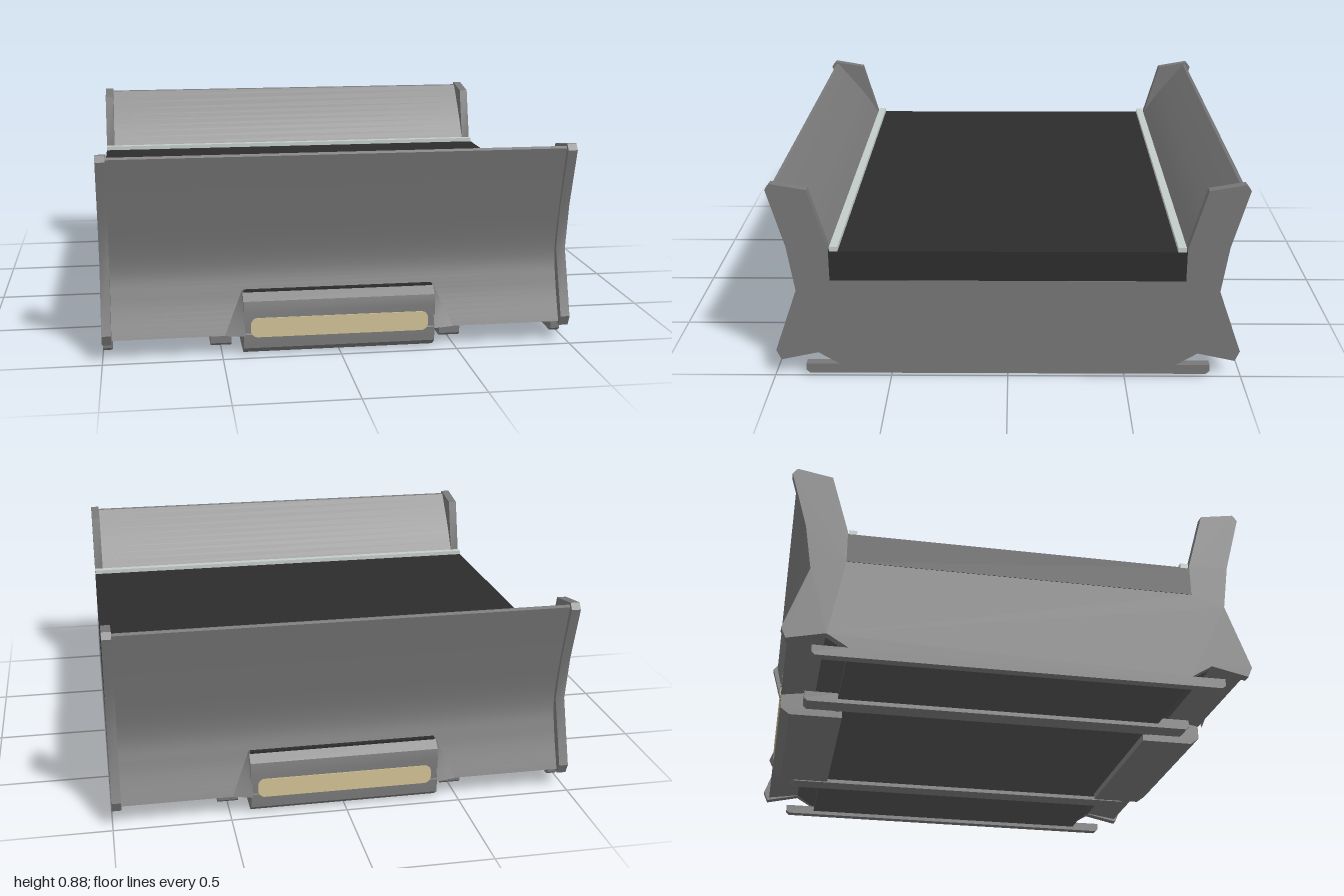
import * as THREE from 'three';
import { toCreasedNormals } from 'three/addons/utils/BufferGeometryUtils.js';

const mat = (name, color) => Object.assign(new THREE.MeshStandardMaterial({ color }), { name });

export function createModel() {
  const steel = mat('steel grey', 0x777777);
  const under = mat('underside grey', 0x535353);
  const rubber = mat('belt black', 0x2c2c2c);
  const trim = mat('pale trim', 0xc2cbc7);
  const amber = mat('lamp amber', 0xd0c094);
  const model = new THREE.Group();
  model.name = 'beltSection';

  const add = (parent, name, geometry, material, x = 0, y = 0, z = 0) => {
    const mesh = new THREE.Mesh(geometry, material);
    mesh.name = name;
    mesh.position.set(x, y, z);
    parent.add(mesh);
    return mesh;
  };
  // Extrudes a [z, y] outline along x, centred on x = 0
  const profile = (points, width) => {
    const shape = new THREE.Shape(points.map(([z, y]) => new THREE.Vector2(z, y)));
    const g = new THREE.ExtrudeGeometry(shape, { depth: width, bevelEnabled: false });
    g.rotateY(-Math.PI / 2).translate(width / 2, 0, 0);
    return toCreasedNormals(g, 0.5);
  };
  // Completes an outline that is the same towards front and back
  const mirrored = (half) => [...half, ...half.map(([z, y]) => [-z, y]).reverse()];
  const curve = (points, n) =>
    new THREE.SplineCurve(points.map((p) => new THREE.Vector2(...p))).getPoints(n).map((p) => [p.x, p.y]);

  // Trough with concave outer walls and flared inner walls
  const outer = curve([[0.968, 0.855], [0.912, 0.62], [0.872, 0.4], [0.902, 0.25], [0.962, 0.09]], 32);
  const inner = curve([[0.742, 0.585], [0.80, 0.675], [0.87, 0.765], [0.952, 0.862]], 10);
  add(model, 'trough', profile(mirrored([
    [0.742, 0.45], ...inner, [0.965, 0.865], ...outer, [0.81, 0.113], [0.74, 0.09],
  ]), 1.924), steel);

  // Dark floor pan below the trough
  add(model, 'floorPan', profile(mirrored([[0.812, 0.112], [0.72, 0.053], [0.72, 0.03]]), 1.93), under);

  // End plates with a slot for the belt and a skid along the bottom
  const plate = mirrored([
    [0.745, 0.447], [0.745, 0.59], [0.82, 0.85], [0.97, 0.876], [0.99, 0.85], [0.92, 0.6],
    [0.89, 0.4], [0.99, 0.12], [0.97, 0.075], [0.81, 0.11], [0.72, 0.055],
    [0.865, 0.055], [0.865, 0.025], [0.85, 0.012],
  ]);
  for (const side of [-1, 1]) {
    add(model, side > 0 ? 'leftEndPlate' : 'rightEndPlate', profile(plate, 0.04), steel, side * 0.98);
    // Inner skid rails
    add(model, side > 0 ? 'leftSkid' : 'rightSkid', profile(mirrored([
      [0.72, 0.057], [0.865, 0.057], [0.865, 0.025], [0.85, 0.012],
    ]), 0.09), steel, side * 0.5);
  }

  // Belt
  add(model, 'belt', new THREE.BoxGeometry(2, 0.132, 1.49), rubber, 0, 0.514, 0);

  // Lamp face with rounded ends
  const lamp = new THREE.Shape();
  const w = 0.38, h = 0.042, r = 0.03;
  lamp.absarc(w - r, h - r, r, 0, Math.PI / 2);
  lamp.absarc(-w + r, h - r, r, Math.PI / 2, Math.PI);
  lamp.absarc(-w + r, -h + r, r, Math.PI, Math.PI * 1.5);
  lamp.absarc(w - r, -h + r, r, Math.PI * 1.5, Math.PI * 2);
  const lampGeometry = new THREE.ExtrudeGeometry(lamp, { depth: 0.007, bevelEnabled: false, curveSegments: 6 });

  // Sloping cheek beside the lamp housing, following the wall
  const cheek = (side) => {
    const rows = outer.filter(([, y]) => y < 0.275);
    const pos = [], index = [];
    rows.forEach(([z, y], i) => {
      const flare = 0.41 + Math.max(0, 0.08 * (0.27 - y) / 0.18);
      pos.push(side * 0.405, y, z + 0.02, side * flare, y, z + 0.002);
      if (i) index.push(2 * i - 2, 2 * i, 2 * i - 1, 2 * i - 1, 2 * i, 2 * i + 1);
    });
    if (side < 0) index.reverse();
    const g = new THREE.BufferGeometry();
    g.setAttribute('position', new THREE.Float32BufferAttribute(pos, 3));
    g.setIndex(index);
    g.computeVertexNormals();
    return g;
  };
  const cheekSteel = steel.clone();
  cheekSteel.name = 'cheek steel grey';
  cheekSteel.side = THREE.DoubleSide;

  // Fittings that repeat at the front and the back
  for (const end of ['front', 'back']) {
    const group = new THREE.Group();
    group.name = end + 'Fittings';
    if (end === 'back') group.rotation.y = Math.PI;
    model.add(group);
    add(group, 'edgeTrim', new THREE.BoxGeometry(2, 0.022, 0.035), trim, 0, 0.588, 0.723);
    add(group, 'lampHousing', profile([
      [0.69, 0], [0.92, 0], [0.96, 0.03], [0.96, 0.19], [0.95, 0.232], [0.915, 0.262], [0.85, 0.262], [0.69, 0.1],
    ], 0.82), steel);
    add(group, 'housingSeam', new THREE.BoxGeometry(0.81, 0.009, 0.06), rubber, 0, 0.266, 0.885);
    add(group, 'lamp', lampGeometry, amber, 0, 0.12, 0.957);
    for (const side of [-1, 1]) add(group, 'housingCheek', cheek(side), cheekSteel);
  }
  return model;
}
